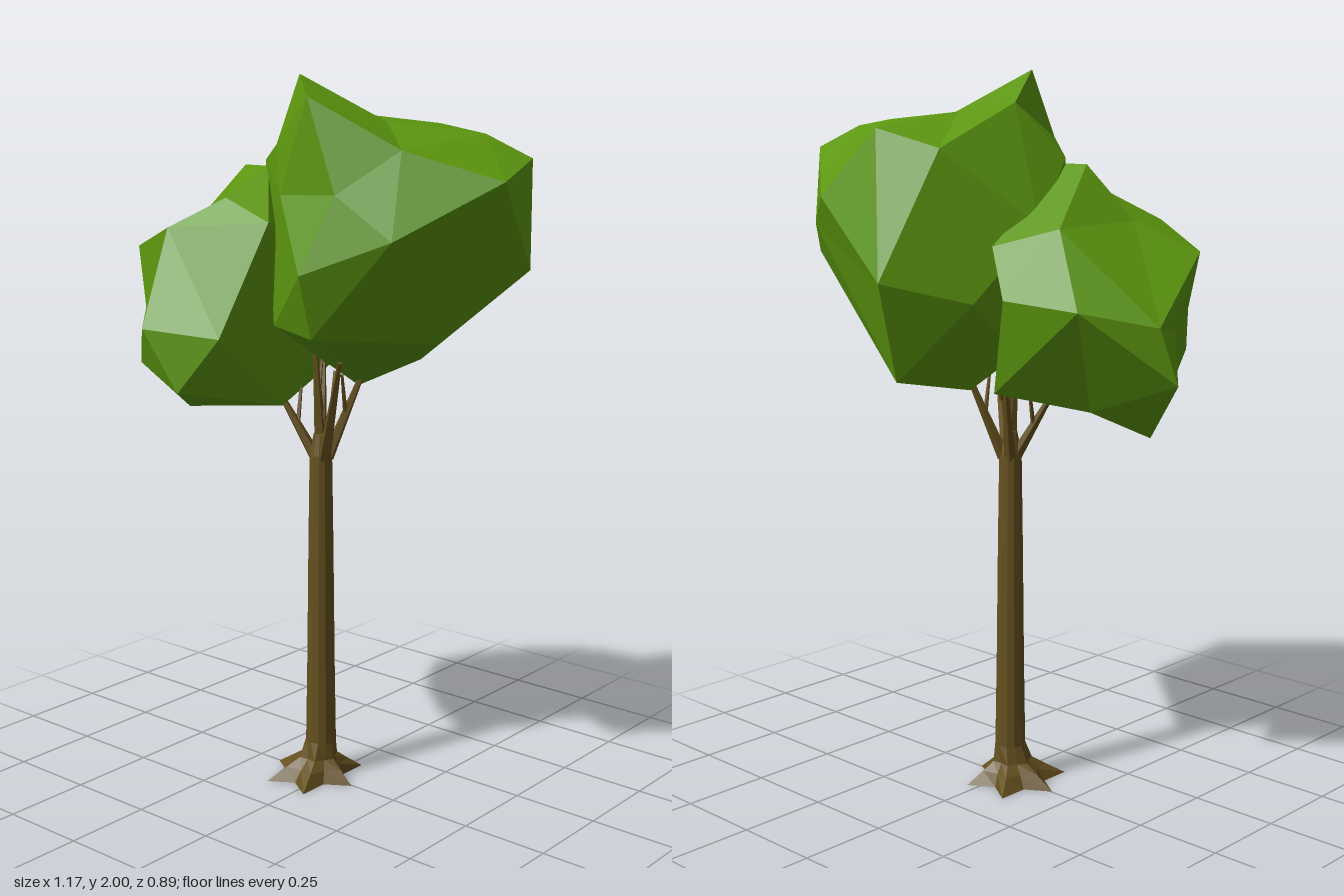
import * as THREE from 'three';
import { ConvexGeometry } from 'three/addons/geometries/ConvexGeometry.js';

const leaf = new THREE.MeshStandardMaterial({ color: 0x5c960f, flatShading: true });
const bark = new THREE.MeshStandardMaterial({ color: 0x65511f, flatShading: true });

function add(parent, name, geometry, material) {
  const mesh = new THREE.Mesh(geometry, material);
  mesh.name = name;
  parent.add(mesh);
  return mesh;
}

// Faceted clump of leaves: the corners are joined up as directions on a sphere
// around the centre, then moved out to their own places, so dents remain
function crown(parent, name, center, corners) {
  const c = new THREE.Vector3(...center);
  const points = corners.map((a) => new THREE.Vector3(...a));
  const dirs = points.map((v) => v.clone().sub(c).normalize());
  const geometry = new ConvexGeometry(dirs);
  const p = geometry.attributes.position;
  const v = new THREE.Vector3();
  for (let i = 0; i < p.count; i++) {
    v.fromBufferAttribute(p, i);
    const j = dirs.findIndex((d) => d.distanceTo(v) < 1e-4);
    p.setXYZ(i, points[j].x, points[j].y, points[j].z);
  }
  geometry.computeVertexNormals();
  add(parent, name, geometry, leaf);
}

// Tapered twig between two points
function branch(parent, name, from, to, r0, r1) {
  const a = new THREE.Vector3(...from), b = new THREE.Vector3(...to);
  const dir = b.clone().sub(a);
  const mesh = add(parent, name, new THREE.CylinderGeometry(r1, r0, dir.length(), 5), bark);
  mesh.position.copy(a).add(b).multiplyScalar(0.5);
  mesh.quaternion.setFromUnitVectors(new THREE.Vector3(0, 1, 0), dir.normalize());
}

export function createModel() {
  const tree = new THREE.Group();
  tree.name = 'tree';

  // Trunk: 12-sided lathe, its foot pinched between six roots
  const profile = [[0, 0], [0.138, 0], [0.09, 0.035], [0.056, 0.06], [0.044, 0.11],
    [0.04, 0.35], [0.036, 0.7], [0.032, 0.96], [0.02, 1.02], [0, 1.03]];
  const trunk = new THREE.LatheGeometry(profile.map(([r, y]) => new THREE.Vector2(r, y)), 12);
  const p = trunk.attributes.position;
  for (let i = 0; i < p.count; i++) {
    const x = p.getX(i), y = p.getY(i), z = p.getZ(i);
    const foot = Math.max(0, 1 - y / 0.1);
    const between = (1 + Math.cos(6 * Math.atan2(x, z))) / 2;
    const k = 1 - 0.42 * between * foot;
    p.setXYZ(i, x * k - 0.023 - 0.015 * foot, y, z * k * (1 + 0.1 * foot) - 0.007 + 0.01 * foot);
  }
  trunk.computeVertexNormals();
  add(tree, 'trunk', trunk, bark);

  // Branches reaching into the crowns
  const branches = new THREE.Group();
  branches.name = 'branches';
  tree.add(branches);
  const limbs = [
    [[-0.005, 0.95, 0.0], [0.125, 1.25, 0.09]],
    [[-0.01, 0.95, -0.02], [0.06, 1.22, -0.11]],
    [[-0.035, 0.95, 0.0], [-0.14, 1.15, 0.05]],
    [[-0.035, 0.95, -0.02], [-0.09, 1.2, -0.1]],
    [[-0.022, 0.96, -0.005], [-0.03, 1.28, 0.01]],
  ];
  limbs.forEach(([a, b], i) => {
    branch(branches, 'branch' + (i + 1), a, b, 0.018, 0.006);
    // side twig forking off halfway
    const mid = a.map((v, j) => v + (b[j] - v) * 0.45);
    const side = i % 2 ? 0.04 : -0.04;
    branch(branches, 'twig' + (i + 1), mid, [mid[0] + side * 0.5, mid[1] + 0.12, mid[2] + side], 0.007, 0.004);
  });

  // Large upper crown
  crown(tree, 'largeCrown', [0.18, 1.56, -0.06], [
    [-0.03, 2.0, 0.07], [0.14, 1.95, 0.24], [0.2, 1.88, -0.01], [0.22, 1.87, -0.215],
    [0.06, 1.89, -0.12], [0.4, 1.85, -0.17], [0.52, 1.79, -0.21], [0.58, 1.745, 0],
    [0.36, 1.82, 0.135], [0.39, 1.6, 0.21], [0.24, 1.71, 0.25], [0.05, 1.7, 0.24],
    [0.18, 1.51, 0.32], [0.17, 1.34, 0.26], [0.515, 1.5, -0.22], [0.32, 1.3, -0.08],
    [0.02, 1.145, -0.12], [0.06, 1.19, -0.356], [0.03, 1.46, -0.445], [0.3, 1.67, -0.4],
    [0.41, 1.59, -0.325], [0.14, 1.85, -0.345], [-0.03, 1.8, -0.28], [-0.09, 1.915, -0.06],
    [-0.17, 1.77, 0.05], [-0.195, 1.6, -0.08], [-0.05, 1.82, 0.14], [-0.11, 1.4, -0.24],
    [-0.1, 1.25, -0.06], [-0.01, 1.35, 0.2],
  ]);

  // Small lower crown
  crown(tree, 'smallCrown', [-0.27, 1.38, 0.1], [
    [-0.235, 1.755, 0.06], [-0.15, 1.755, 0.06], [-0.16, 1.68, 0.22], [0.0, 1.625, 0.23],
    [-0.285, 1.6, 0.315], [-0.35, 1.61, 0.12], [-0.48, 1.53, 0.235], [-0.31, 1.6, -0.13],
    [-0.56, 1.36, -0.03], [-0.59, 1.21, 0.01], [-0.49, 1.33, 0.12], [-0.41, 1.37, 0.28],
    [-0.42, 1.4, -0.185], [-0.22, 1.42, -0.245], [-0.14, 1.55, -0.2], [-0.26, 1.345, 0.442],
    [-0.05, 1.33, 0.37], [-0.16, 1.18, 0.415], [-0.33, 1.24, 0.38], [-0.455, 1.05, 0.07],
    [-0.26, 1.1, 0.2], [-0.07, 1.11, 0.1], [-0.345, 1.12, -0.045], [-0.165, 1.17, -0.22],
    [-0.02, 1.3, 0.0],
  ]);

  return tree;
}
